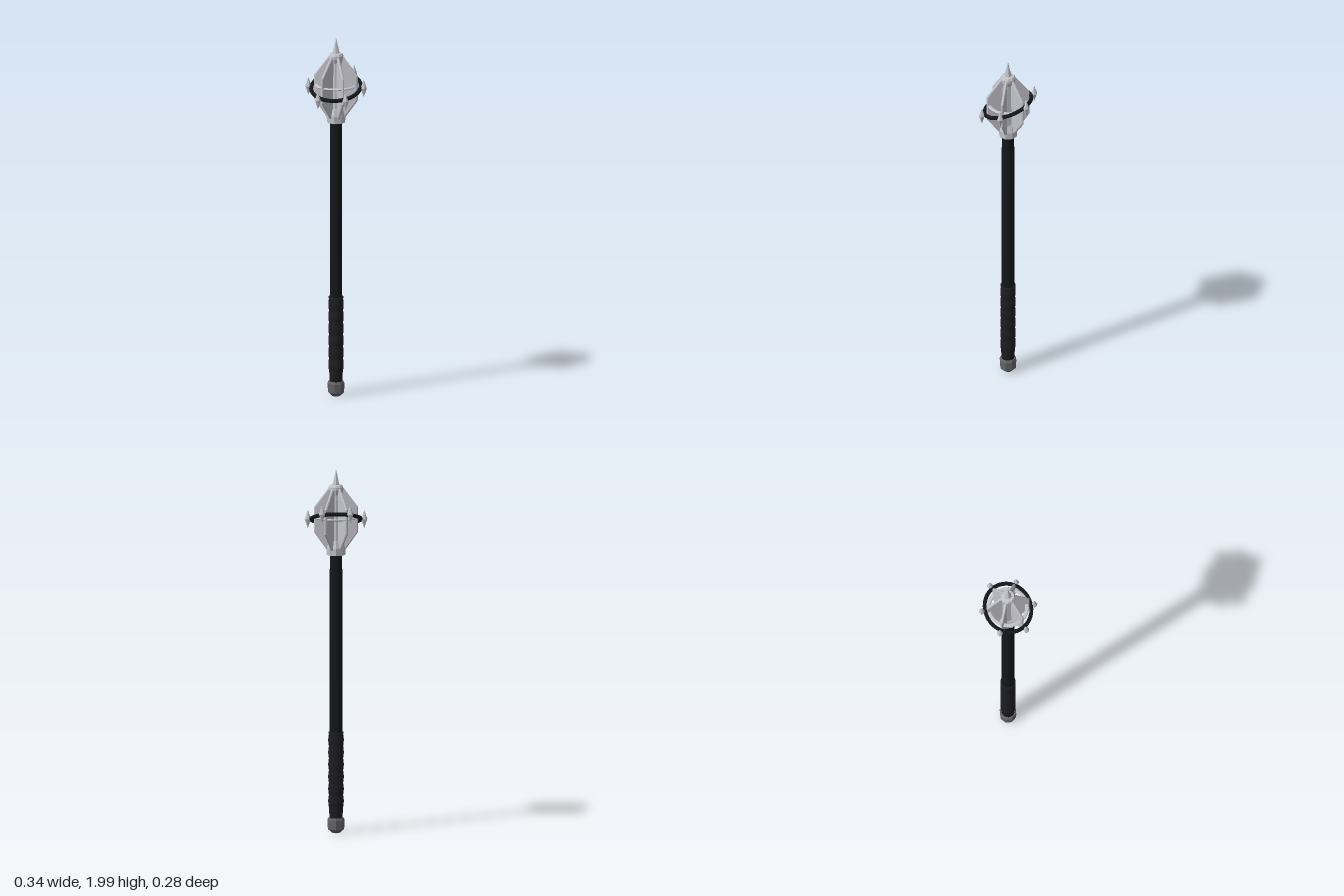
import * as THREE from 'three';

const V = (r, y) => new THREE.Vector2(r, y);
const mat = (color, flatShading = true) => new THREE.MeshStandardMaterial({ color, flatShading });

export function createModel() {
  const group = new THREE.Group();
  const steel = mat(0xc4c4cc), darkSteel = mat(0x66666a);
  const black = mat(0x15171a, false), leather = mat(0x1e1e23, false);

  const add = (name, geometry, material, parent = group) => {
    const mesh = new THREE.Mesh(geometry, material);
    mesh.name = name;
    parent.add(mesh);
    return mesh;
  };
  const lathe = (points, sides) => new THREE.LatheGeometry(points.map(p => V(...p)), sides);

  // Pommel
  add('pommel', lathe([[0, 0.01], [0.022, 0.01], [0.044, 0.03], [0.047, 0.08], [0.042, 0.092], [0, 0.092]], 8), darkSteel);

  // Shaft, slightly slimmer under the head
  add('shaft', lathe([[0.034, 0.08], [0.034, 1.45], [0.032, 1.455], [0.032, 1.54]], 16), black);

  // Grip with shallow finger swells
  const swells = [[0.033, 0.09], [0.036, 0.1]];
  for (let i = 0; i <= 30; i++) {
    const t = i / 30;
    swells.push([0.0385 + 0.0035 * Math.abs(Math.sin(t * Math.PI * 6)), 0.15 + 0.4 * t]);
  }
  swells.splice(2, 0, [0.037, 0.14]);
  swells.push([0.042, 0.56], [0.033, 0.561]);
  add('grip', lathe(swells, 16), leather);

  // Head core: collar, column and cap
  add('collar', lathe([[0, 1.53], [0.05, 1.53], [0.052, 1.57], [0.04, 1.61], [0, 1.61]], 8), steel);
  add('core', new THREE.CylinderGeometry(0.032, 0.036, 0.32, 10).translate(0, 1.74, 0), steel);
  add('cap', lathe([[0, 1.86], [0.033, 1.86], [0.041, 1.885], [0.041, 1.9], [0.034, 1.912], [0, 1.915]], 10), steel);
  add('topSpike', new THREE.ConeGeometry(0.021, 0.09, 6).translate(0, 1.955, 0), steel);

  // Six bevelled flanges around the core
  const outline = new THREE.Shape([V(0.02, 1.56), V(0.048, 1.56), V(0.116, 1.655), V(0.116, 1.79), V(0.037, 1.895), V(0.02, 1.895)]);
  const flangeGeometry = new THREE.ExtrudeGeometry(outline, {
    depth: 0.006, bevelEnabled: true, bevelThickness: 0.004, bevelSize: 0.005, bevelOffset: -0.002, bevelSegments: 1,
  }).translate(0, 0, -0.003);
  const flanges = new THREE.Group();
  flanges.name = 'flanges';
  group.add(flanges);

  // Tilted band: low at the front, high at the back
  const midY = 1.725, slope = 0.375;
  const band = add('tiltedBand', new THREE.TorusGeometry(0.134, 0.011, 8, 36).rotateX(Math.PI / 2), black);
  band.position.y = midY;
  band.rotation.x = Math.atan(slope);

  // Level ring linking the flanges
  const ring = add('innerRing', new THREE.TorusGeometry(0.104, 0.011, 6, 24).rotateX(Math.PI / 2), steel);
  ring.position.y = 1.735;
  ring.scale.y = 0.5;

  // Upright double-pointed studs follow the tilt of the band
  const studGeometry = lathe([[0, -0.05], [0.017, 0], [0, 0.05]], 6).rotateY(Math.PI / 6);
  studGeometry.rotateY(Math.PI / 3);
  const studs = new THREE.Group();
  studs.name = 'studs';
  group.add(studs);

  for (let i = 0; i < 6; i++) {
    const a = i * Math.PI / 3;
    add('flange', flangeGeometry, steel, flanges).rotation.y = a;
    const x = 0.152 * Math.cos(a), z = 0.144 * Math.sin(a);
    add('stud', studGeometry, steel, studs).position.set(x, midY - slope * z, z);
  }
  return group;
}
